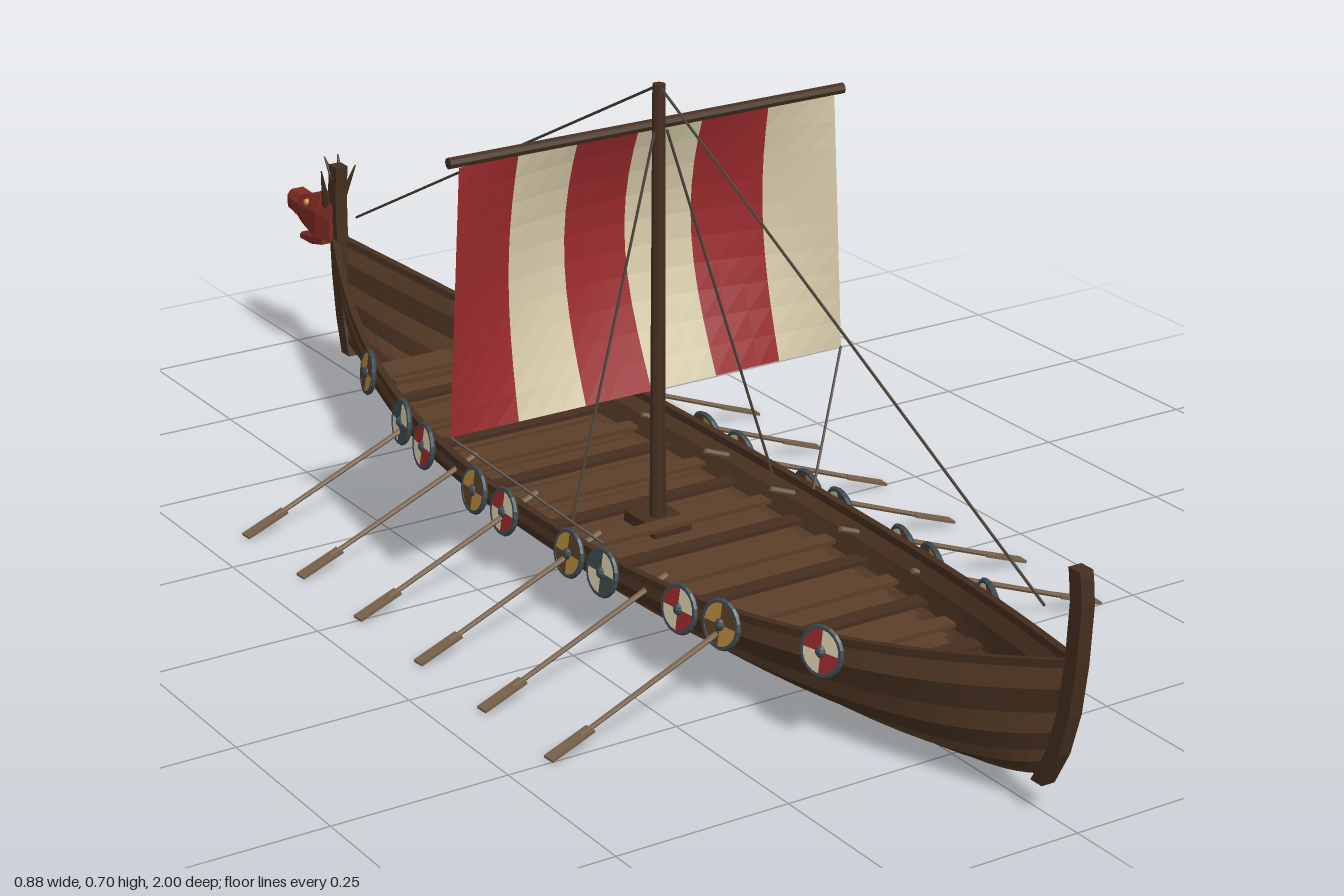
import * as THREE from 'three';

const mat = (name, color, extra = {}) => {
  const m = new THREE.MeshStandardMaterial({ color, flatShading: true, ...extra });
  m.name = name;
  return m;
};

// Closed rings of [x, y, z] points joined into a capped solid, always facing outward
function loft(rings) {
  const n = rings[0].length, tris = [];
  for (let i = 0; i < rings.length - 1; i++) {
    for (let j = 0; j < n; j++) {
      const k = (j + 1) % n, a = rings[i][j], b = rings[i][k], c = rings[i + 1][k], d = rings[i + 1][j];
      tris.push([a, b, c], [a, c, d]);
    }
  }
  const first = rings[0], last = rings[rings.length - 1];
  for (let j = 1; j < n - 1; j++) tris.push([first[0], first[j + 1], first[j]], [last[0], last[j], last[j + 1]]);
  const o = new THREE.Vector3(...first[0]), v = p => new THREE.Vector3(...p).sub(o);
  const volume = tris.reduce((s, [a, b, c]) => s + v(a).dot(v(b).cross(v(c))), 0);
  const g = new THREE.BufferGeometry();
  const flat = tris.flatMap(([a, b, c]) => (volume < 0 ? [a, c, b] : [a, b, c])).flat();
  g.setAttribute('position', new THREE.Float32BufferAttribute(flat, 3));
  g.computeVertexNormals();
  return g;
}

// Hull lines as functions of z
const MID = 0.06, HALF = 0.91, ARC = 1.45;
const U = z => Math.min(1, Math.abs(z - MID) / HALF);
const beam = z => 0.187 * (1 - U(z) ** 2.4);
const sheer = z => 0.115 + 0.105 * U(z) ** 2.5;
const keelY = z => 0.006 + 0.06 * U(z) ** 6;
function hullPoint(z, s, off, side) {
  const a = s * ARC, rise = (1 - Math.cos(a)) / (1 - Math.cos(ARC));
  const x = beam(z) * Math.sin(a) / Math.sin(ARC) + off * Math.sin(a);
  const y = keelY(z) + (sheer(z) - keelY(z)) * rise - off * Math.cos(a);
  const rake = Math.sign(z - MID) * (rise - 0.6) * 0.04 * U(z) ** 8;
  return [side * Math.max(0, x), Math.max(0.001, y), z + rake];
}
const stations = Array.from({ length: 41 }, (_, i) => MID - HALF * Math.cos(Math.PI * i / 40));

export function createModel() {
  const M = {
    plank: mat('plank brown', 0x5c3f29),
    dark: mat('dark wood', 0x452f1f),
    oar: mat('oar wood', 0x77614a),
    red: mat('sail red', 0x9a2a2d, { side: THREE.DoubleSide }),
    cream: mat('sail cream', 0xd8cbaa, { side: THREE.DoubleSide }),
    head: mat('carved red', 0x7c2a22),
    gold: mat('shield gold', 0xb58a3c),
    slate: mat('iron slate', 0x3d494e),
    rope: mat('rope', 0x4a4238),
  };
  const ship = new THREE.Group();
  ship.name = 'longship';
  const add = (name, geo, material, parent = ship) => {
    const m = new THREE.Mesh(geo, material);
    m.name = name;
    parent.add(m);
    return m;
  };
  const box = (name, size, pos, material, parent) => {
    const m = add(name, new THREE.BoxGeometry(...size), material, parent);
    m.position.set(...pos);
    return m;
  };
  // Round bar between two points
  const bar = (name, a, b, r0, r1, material, sides = 6) => {
    const A = new THREE.Vector3(...a), B = new THREE.Vector3(...b);
    const m = add(name, new THREE.CylinderGeometry(r1, r0, A.distanceTo(B), sides), material);
    m.position.copy(A).add(B).multiplyScalar(0.5);
    m.quaternion.setFromUnitVectors(new THREE.Vector3(0, 1, 0), B.sub(A).normalize());
    return m;
  };
  // Rectangular section in x and z, swept through [y, z] points
  const post = (name, pts, w, d, material) => add(name, loft(pts.map(([y, z]) =>
    [[-w, y, z - d], [w, y, z - d], [w, y, z + d], [-w, y, z + d]])), material);

  // Overlapping strakes and gunwales
  const STRAKES = 7;
  for (const side of [-1, 1]) {
    for (let k = 0; k < STRAKES; k++) {
      const s0 = k / STRAKES, s1 = (k + 1) / STRAKES;
      add('strake', loft(stations.map(z => [
        hullPoint(z, s0, -0.003, side), hullPoint(z, s0, 0.005, side),
        hullPoint(z, s1, 0.001, side), hullPoint(z, s1, -0.004, side)])), k % 2 ? M.dark : M.plank);
    }
    add('gunwale', loft(stations.map(z => {
      const [x, y, zz] = hullPoint(z, 1, 0, side);
      const inner = side * Math.max(0, Math.abs(x) - 0.006), outer = x + side * 0.005;
      return [[inner, y - 0.006, zz], [outer, y - 0.006, zz], [outer, y + 0.005, zz], [inner, y + 0.005, zz]];
    })), M.dark);
  }
  add('keel', loft(stations.map(z => {
    const y = keelY(z), zz = hullPoint(z, 0, 0, 1)[2];
    return [[-0.007, y - 0.006, zz], [0.007, y - 0.006, zz], [0.007, y + 0.006, zz], [-0.007, y + 0.006, zz]];
  })), M.dark);

  // Crosswise deck boards and rowing benches
  const deckY = z => 0.06 + 0.06 * U(z) ** 2.5;
  const widthAt = (z, y) => {
    const f = (y - keelY(z)) / (sheer(z) - keelY(z));
    return beam(z) * Math.sin(Math.acos(1 - f * (1 - Math.cos(ARC)))) / Math.sin(ARC);
  };
  for (let i = 0; i < 18; i++) {
    const z = -0.59 + i * 0.082, end = z + 0.041 * Math.sign(z - MID);
    box('deckBoard', [2 * widthAt(end, deckY(z)) - 0.008, 0.008, 0.08], [0, deckY(z), z], M.plank);
  }
  for (let i = 0; i < 16; i++) {
    const z = -0.555 + i * 0.082, y = deckY(z) + 0.018;
    box('bench', [2 * widthAt(z, y) - 0.02, 0.006, 0.026], [0, y, z], i % 2 ? M.dark : M.plank);
  }

  // Stem and stern posts
  post('sternPost', [[0.04, 0.93], [0.09, 0.957], [0.15, 0.975], [0.22, 0.985], [0.3, 0.99], [0.335, 0.986], [0.343, 0.984]], 0.01, 0.011, M.dark);
  post('bowPost', [[0.035, -0.82], [0.09, -0.835], [0.16, -0.845], [0.24, -0.85], [0.3, -0.85], [0.34, -0.845]], 0.01, 0.012, M.dark);

  // Carved beast head: [z, half width, bottom, top]
  const taper = rows => loft(rows.map(([z, w, b, t]) =>
    [[-w, b, z], [w, b, z], [w, b + (t - b) * 0.6, z], [w * 0.55, t, z], [-w * 0.55, t, z], [-w, b + (t - b) * 0.6, z]]));
  add('beastHead', taper([[-0.85, 0.016, 0.215, 0.275], [-0.88, 0.026, 0.215, 0.285], [-0.92, 0.027, 0.228, 0.275],
    [-0.955, 0.019, 0.232, 0.262], [-0.985, 0.018, 0.236, 0.264], [-1, 0.011, 0.24, 0.256]]), M.head);
  add('lowerJaw', taper([[-0.87, 0.02, 0.205, 0.23], [-0.91, 0.018, 0.195, 0.213], [-0.965, 0.009, 0.188, 0.197]]), M.head);
  for (const side of [-1, 1]) {
    const eye = add('eye', new THREE.SphereGeometry(0.006, 8, 6), M.gold);
    eye.position.set(side * 0.023, 0.265, -0.91);
    bar('horn', [side * 0.012, 0.27, -0.865], [side * 0.03, 0.335, -0.845], 0.007, 0.001, M.dark);
    bar('crest', [side * 0.006, 0.315, -0.85], [side * 0.012, 0.35, -0.868], 0.005, 0.001, M.dark);
    for (const z of [-0.945, -0.975]) bar('tooth', [side * 0.011, 0.238, z], [side * 0.011, 0.223, z], 0.004, 0.0005, M.cream, 4);
  }

  // Mast and yard
  bar('mast', [0, 0.02, 0.07], [0, 0.705, 0.07], 0.012, 0.009, M.dark, 10);
  box('mastStep', [0.06, 0.02, 0.08], [0, 0.07, 0.07], M.dark);
  bar('yard', [-0.315, 0.643, 0.052], [0.315, 0.643, 0.052], 0.008, 0.008, M.dark, 8);

  // Billowing sail in six stripes
  for (let i = 0; i < 6; i++) {
    const g = new THREE.PlaneGeometry(1, 1, 3, 10), p = g.attributes.position;
    for (let j = 0; j < p.count; j++) {
      const f = (i + p.getX(j) + 0.5) / 3 - 1, v = p.getY(j) + 0.5;
      p.setXYZ(j, f * (0.32 - 0.02 * v), 0.26 + 0.375 * v,
        0.054 - 0.07 * Math.cos(f * Math.PI / 2) * Math.sin(Math.PI * v * 0.86));
    }
    g.computeVertexNormals();
    add('sailStripe', g, i % 2 ? M.cream : M.red);
  }

  // Rigging
  bar('backstay', [0, 0.703, 0.07], [0, 0.27, 0.92], 0.002, 0.002, M.rope, 5);
  bar('forestay', [0, 0.703, 0.07], [0, 0.27, -0.79], 0.002, 0.002, M.rope, 5);
  for (const side of [-1, 1]) {
    bar('shroud', [side * 0.01, 0.64, 0.075], [side * 0.165, 0.12, 0.11], 0.002, 0.002, M.rope, 5);
    bar('sheet', [side * 0.32, 0.26, 0.054], [side * 0.172, 0.125, 0.2], 0.002, 0.002, M.rope, 5);
  }

  // Round shields in painted quarters
  const shieldColours = { r: [M.red, M.cream], g: [M.gold, M.plank], s: [M.slate, M.cream] };
  const shields = [[0.65, 'r'], [0.48, 'g'], [0.4, 'r'], [0.235, 's'], [0.155, 'g'],
    [-0.015, 'r'], [-0.1, 'g'], [-0.265, 'r'], [-0.35, 's'], [-0.51, 'g']];
  for (const side of [-1, 1]) {
    for (const [z, key] of shields) {
      const s = new THREE.Group();
      s.name = 'shield';
      for (let q = 0; q < 4; q++) {
        const quarter = new THREE.CylinderGeometry(0.031, 0.031, 0.006, 5, 1, false, q * Math.PI / 2, Math.PI / 2);
        add('shieldQuarter', quarter.rotateX(Math.PI / 2), shieldColours[key][q % 2], s);
      }
      add('shieldRim', new THREE.TorusGeometry(0.031, 0.004, 6, 20), M.slate, s);
      add('shieldBoss', new THREE.SphereGeometry(0.009, 10, 6), M.slate, s);
      const slope = (beam(z + 0.01) - beam(z - 0.01)) / 0.02;
      s.position.set(side * (beam(z) + 0.011), sheer(z) - 0.015, z);
      s.rotation.set(-0.14, Math.atan2(side, -slope), 0, 'YXZ');
      ship.add(s);
    }
  }

  // Six oars each side
  for (const side of [-1, 1]) {
    for (let i = 0; i < 6; i++) {
      const z = -0.33 + i * 0.165;
      bar('oarShaft', [side * 0.14, 0.113, z - 0.022], [side * 0.39, 0.022, z - 0.002], 0.004, 0.0035, M.oar);
      const blade = box('oarBlade', [0.07, 0.004, 0.018], [side * 0.407, 0.016, z], M.oar);
      blade.rotation.set(0, -side * 0.08, -side * 0.33);
    }
  }
  return ship;
}
